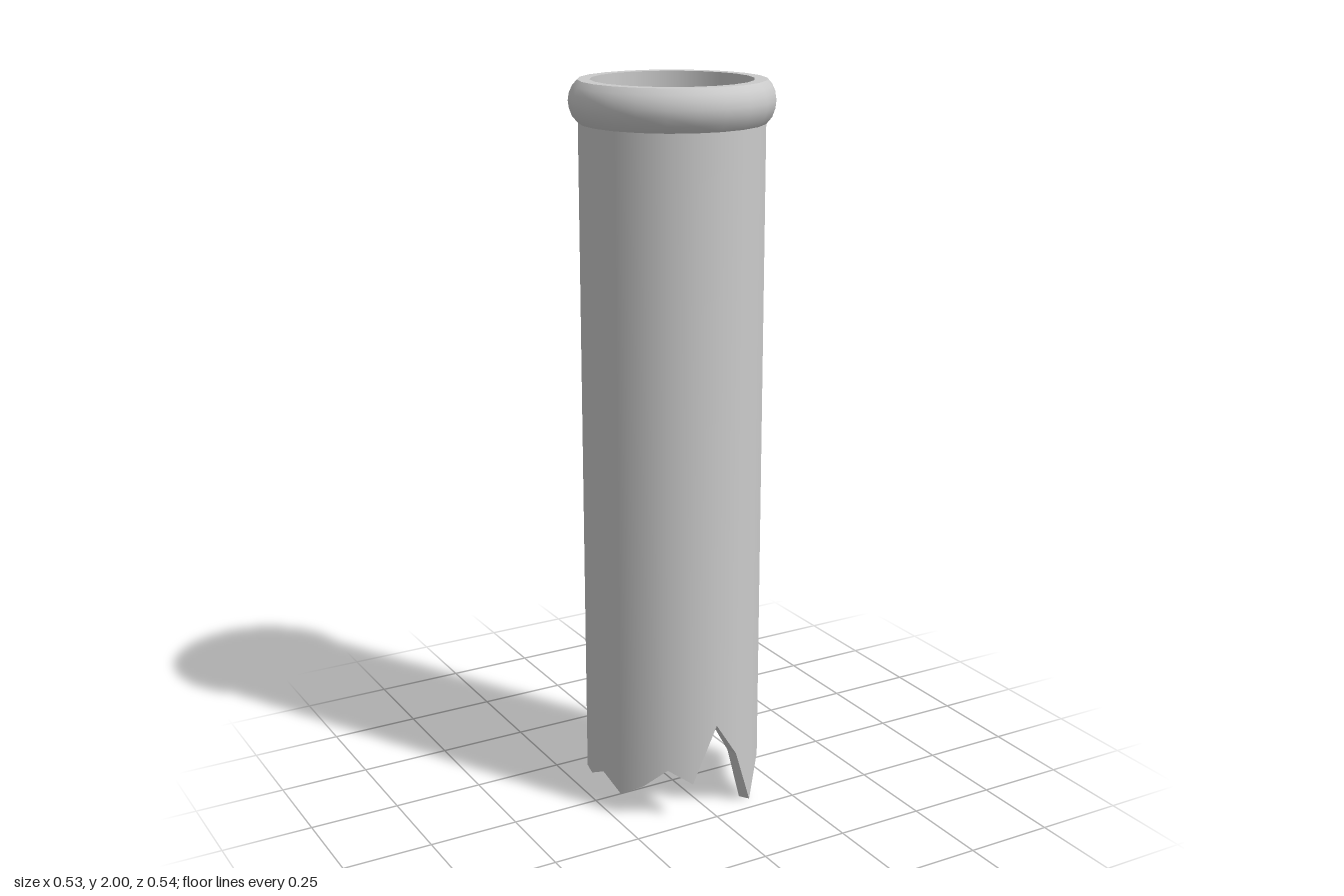
import * as THREE from 'three';

const SIDES = 22;
const OUTER = 0.245, INNER = 0.213, RIM_BASE = 1.89, TOP = 2;

// Height of the broken edge at each side, counter-clockwise from the front
const JAGS = [
  0.275, 0.17, 0, 0.11, 0.13, 0.1, 0.07, 0.13, 0.11, 0, 0.17,
  0.275, 0.11, 0.155, 0.105, 0.06, 0.07, 0.105, 0.06, 0.1, 0.155, 0.11,
];

export function createModel() {
  const group = new THREE.Group();
  const material = new THREE.MeshStandardMaterial({ color: 0xcccccc });

  // Turn a profile; points at y = 0 follow the broken edge
  function turn(name, profile, flat = false) {
    const points = profile.map(([r, y]) => new THREE.Vector2(r, y));
    let geometry = new THREE.LatheGeometry(points, SIDES);
    const pos = geometry.attributes.position;
    for (let i = 0; i < pos.count; i++) {
      if (pos.getY(i) === 0) pos.setY(i, JAGS[Math.floor(i / points.length) % SIDES]);
    }
    if (flat) {
      geometry = geometry.toNonIndexed();
      geometry.computeVertexNormals();
    }
    const mesh = new THREE.Mesh(geometry, material);
    mesh.name = name;
    group.add(mesh);
  }

  turn('outerWall', [[OUTER, 0], [OUTER, RIM_BASE]]);
  turn('innerWall', [[INNER, TOP], [INNER, 0]]);
  turn('brokenEdge', [[INNER, 0], [OUTER, 0]], true);

  // Rounded lip around the mouth
  turn('lip', [
    [OUTER, RIM_BASE], [0.26, 1.908], [0.268, 1.93], [0.27, 1.948],
    [0.267, 1.967], [0.259, 1.985], [0.246, TOP],
  ]);
  turn('mouth', [[0.246, TOP], [INNER, TOP]]);

  return group;
}
